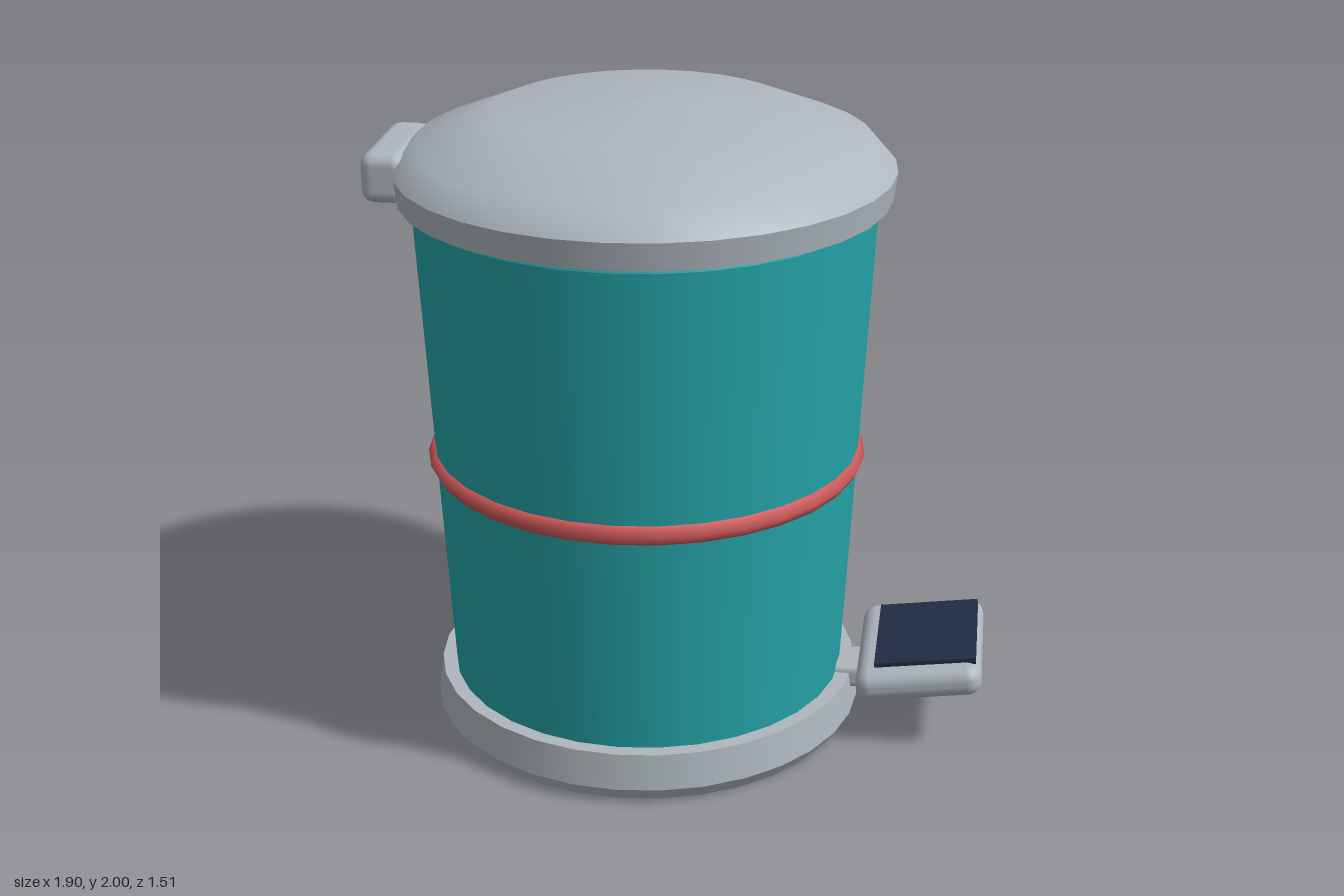
import * as THREE from 'three';
import { RoundedBoxGeometry } from 'three/addons/geometries/RoundedBoxGeometry.js';

const SIDES = 32;
const AXIS_X = -0.13; // the bin's vertical axis, offset to leave room for the pedal

function material(name, color) {
  const m = new THREE.MeshStandardMaterial({ color });
  m.name = name;
  return m;
}

export function createModel() {
  const metal = material('greyMetal', 0xaeb7bd);
  const teal = material('tealPaint', 0x25a4a8);
  const red = material('redTrim', 0xd05a5a);
  const navy = material('navyRubber', 0x222d45);

  const model = new THREE.Group();
  model.name = 'pedalBin';

  function add(name, geometry, mat, x, y, z = 0, parent = model) {
    const mesh = new THREE.Mesh(geometry, mat);
    mesh.name = name;
    mesh.position.set(x, y, z);
    parent.add(mesh);
    return mesh;
  }

  // Turned part: each profile runs upward and is smooth, with hard edges between profiles
  function turned(name, mat, profiles) {
    const group = new THREE.Group();
    group.name = name;
    group.position.x = AXIS_X;
    profiles.forEach((profile, i) => {
      const points = profile.map(([r, y]) => new THREE.Vector2(r, y));
      add(name + 'Surface' + (i + 1), new THREE.LatheGeometry(points, SIDES), mat, 0, 0, 0, group);
    });
    model.add(group);
  }

  // Base ring with a chamfered foot
  turned('base', metal, [
    [[0, 0], [0.645, 0]],
    [[0.645, 0], [0.68, 0.05]],
    [[0.68, 0.05], [0.665, 0.163]],
    [[0.665, 0.163], [0, 0.163]],
  ]);

  // Tapered body
  turned('body', teal, [
    [[0.62, 0.15], [0.7, 1.695]],
    [[0.7, 1.695], [0.69, 1.72]],
  ]);

  // Lid: underside, rim and dome
  turned('lid', metal, [
    [[0, 1.717], [0.742, 1.717]],
    [[0.742, 1.717], [0.753, 1.8]],
    [[0.753, 1.8], [0.688, 1.875], [0.445, 1.973], [0, 2]],
  ]);

  // Trim band around the body
  const band = add('trimBand', new THREE.TorusGeometry(0.646, 0.034, 6, SIDES), red, AXIS_X, 0.889);
  band.rotation.x = Math.PI / 2;

  // Lid hinge housing
  add('hinge', new RoundedBoxGeometry(0.14, 0.155, 0.4, 2, 0.04), metal, -0.885, 1.775);

  // Pedal arm
  add('pedalArm', new RoundedBoxGeometry(0.22, 0.08, 0.155, 2, 0.025), metal, 0.52, 0.146);

  // Tilted pedal with a rubber pad
  const pedal = new THREE.Group();
  pedal.name = 'pedal';
  pedal.position.set(0.752, 0.226, 0);
  pedal.rotation.z = 0.14;
  model.add(pedal);
  add('pedalPlate', new RoundedBoxGeometry(0.392, 0.1, 0.515, 3, 0.045), metal, 0, 0, 0, pedal);
  add('pedalPad', new THREE.BoxGeometry(0.315, 0.02, 0.4), navy, 0.025, 0.053, 0, pedal);

  return model;
}
